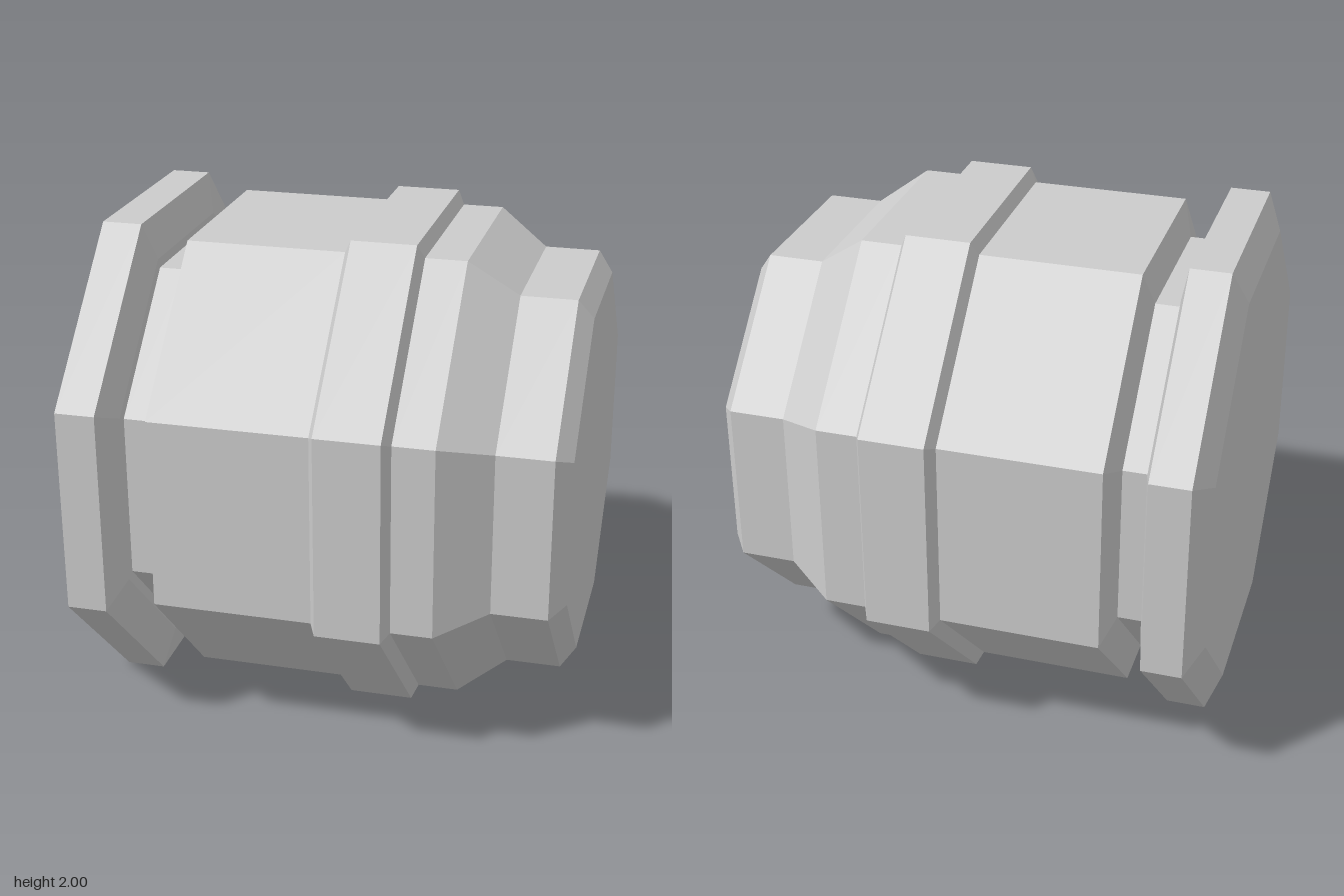
import * as THREE from 'three';

const SIDES = 8;

export function createModel() {
  const model = new THREE.Group();
  model.name = 'octagonalBarrel';
  const metal = new THREE.MeshStandardMaterial({ color: 0xcccccc, flatShading: true });
  metal.name = 'lightGrey';

  // Octagonal section along x; profile points are [x, distance from axis to flat side]
  const addSection = (name, profile) => {
    const points = profile.map(([x, flat]) => new THREE.Vector2(flat / Math.cos(Math.PI / SIDES), x));
    const geometry = new THREE.LatheGeometry(points, SIDES, Math.PI / SIDES);
    geometry.rotateZ(-Math.PI / 2);
    const mesh = new THREE.Mesh(geometry, metal);
    mesh.name = name;
    mesh.position.y = 1;
    model.add(mesh);
  };

  // Closed end with its wide chamfered rim
  addSection('endFlange', [[-1, 0], [-1, 0.86], [-0.94, 1], [-0.78, 1], [-0.742, 0.84], [-0.742, 0.8]]);
  // Narrow groove behind the flange
  addSection('groove', [[-0.742, 0.8], [-0.64, 0.8]]);
  // Main body with a chamfered shoulder
  addSection('body', [[-0.64, 0.8], [-0.6, 0.94], [0.04, 0.94]]);
  // Raised band around the body
  addSection('collar', [[0.04, 0.94], [0.068, 0.995], [0.328, 0.995], [0.355, 0.94]]);
  // Tapered shoulder
  addSection('shoulder', [[0.355, 0.94], [0.52, 0.94], [0.717, 0.8]]);
  // Narrow closed end
  addSection('nose', [[0.717, 0.8], [0.94, 0.8], [1, 0.72], [1, 0]]);

  return model;
}
